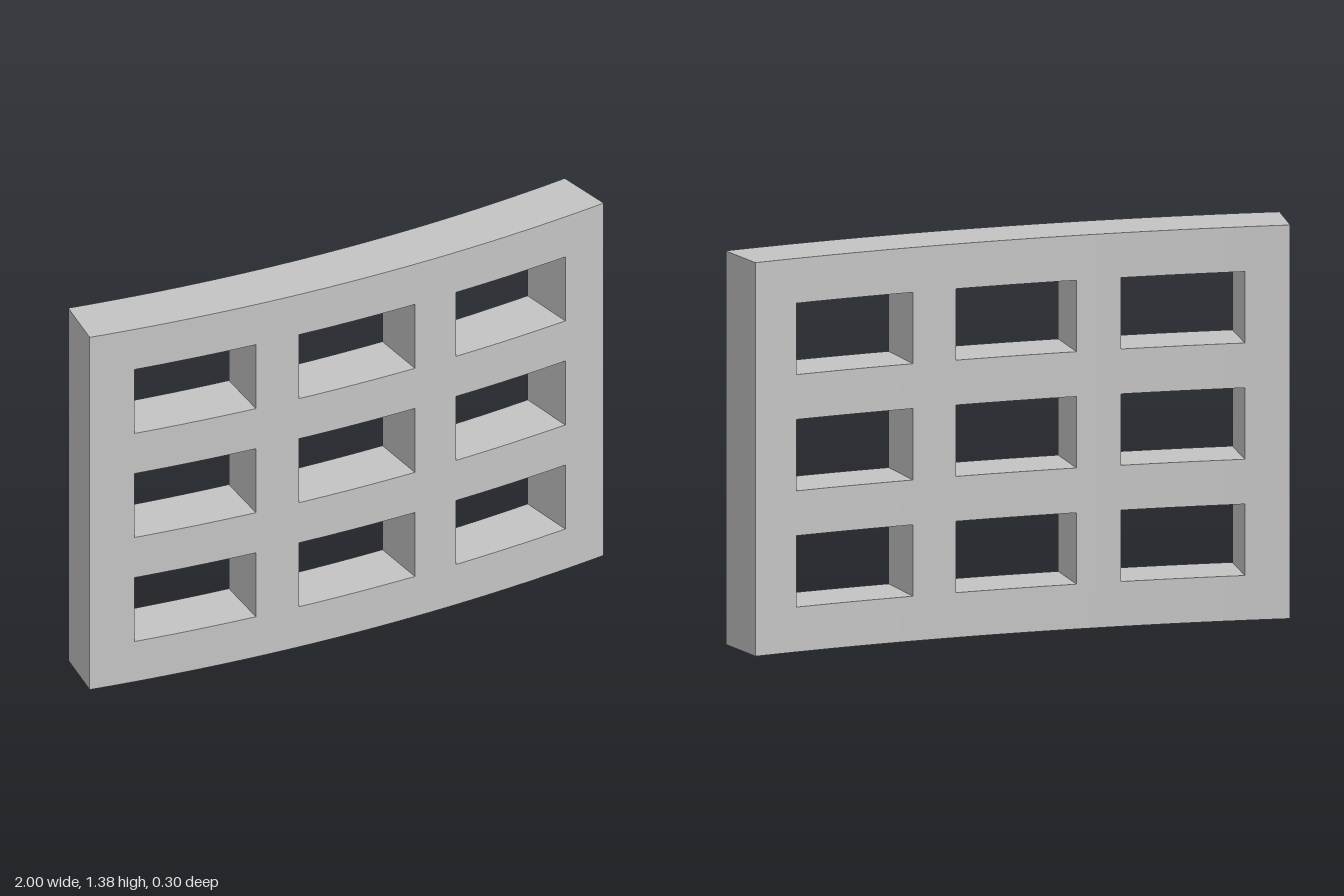
import * as THREE from 'three';
import { mergeGeometries, toCreasedNormals } from 'three/addons/utils/BufferGeometryUtils.js';

const OUTER = 6.45, INNER = 6.23;   // radii of front and back faces
const CENTRE_Z = OUTER - 0.148;     // distance of the arc centre behind the panel
const HALF_ANGLE = Math.asin(1 / OUTER);
const COUNT = 3, CELLS = COUNT * 2 + 1;

// Alternating bar / opening positions along one axis
function stops(start, bar, opening) {
  const list = [start];
  for (let i = 0; i < CELLS; i++) list.push(list[i] + (i % 2 ? opening : bar));
  return list;
}

// Curved patch: at(u, v) gives [angle, radius, y]
function patch(segments, at) {
  const g = new THREE.PlaneGeometry(1, 1, segments, 1);
  const p = g.attributes.position;
  for (let i = 0; i < p.count; i++) {
    const [a, r, y] = at(p.getX(i) + 0.5, p.getY(i) + 0.5);
    p.setXYZ(i, r * Math.sin(a), y, r * Math.cos(a) - CENTRE_Z);
  }
  return g;
}

export function createModel() {
  const grey = new THREE.MeshStandardMaterial({ color: 0xc4c4c4 });
  grey.name = 'grey';

  const opening = 0.0699;
  const angles = stops(-HALF_ANGLE, (2 * HALF_ANGLE - COUNT * opening) / (COUNT + 1), opening);
  const heights = stops(0, 0.157, 0.25);
  const solid = (i, j) => i >= 0 && j >= 0 && i < CELLS && j < CELLS && !(i % 2 && j % 2);
  const mix = THREE.MathUtils.lerp;

  const parts = [];
  for (let i = 0; i < CELLS; i++) {
    for (let j = 0; j < CELLS; j++) {
      if (!solid(i, j)) continue;
      const a0 = angles[i], a1 = angles[i + 1], y0 = heights[j], y1 = heights[j + 1];
      const n = i % 2 ? 8 : 4;
      // front and back
      parts.push(patch(n, (u, v) => [mix(a0, a1, u), OUTER, mix(y0, y1, v)]));
      parts.push(patch(n, (u, v) => [mix(a1, a0, u), INNER, mix(y0, y1, v)]));
      // upper and lower faces, outside or inside an opening
      if (!solid(i, j + 1)) parts.push(patch(n, (u, v) => [mix(a0, a1, u), mix(OUTER, INNER, v), y1]));
      if (!solid(i, j - 1)) parts.push(patch(n, (u, v) => [mix(a0, a1, u), mix(INNER, OUTER, v), y0]));
      // radial side faces
      if (!solid(i + 1, j)) parts.push(patch(1, (u, v) => [a1, mix(OUTER, INNER, u), mix(y0, y1, v)]));
      if (!solid(i - 1, j)) parts.push(patch(1, (u, v) => [a0, mix(INNER, OUTER, u), mix(y0, y1, v)]));
    }
  }

  const panel = new THREE.Mesh(toCreasedNormals(mergeGeometries(parts), Math.PI / 6), grey);
  panel.name = 'curvedWindowPanel';
  const model = new THREE.Group();
  model.name = 'curvedLattice';
  model.add(panel);
  return model;
}
